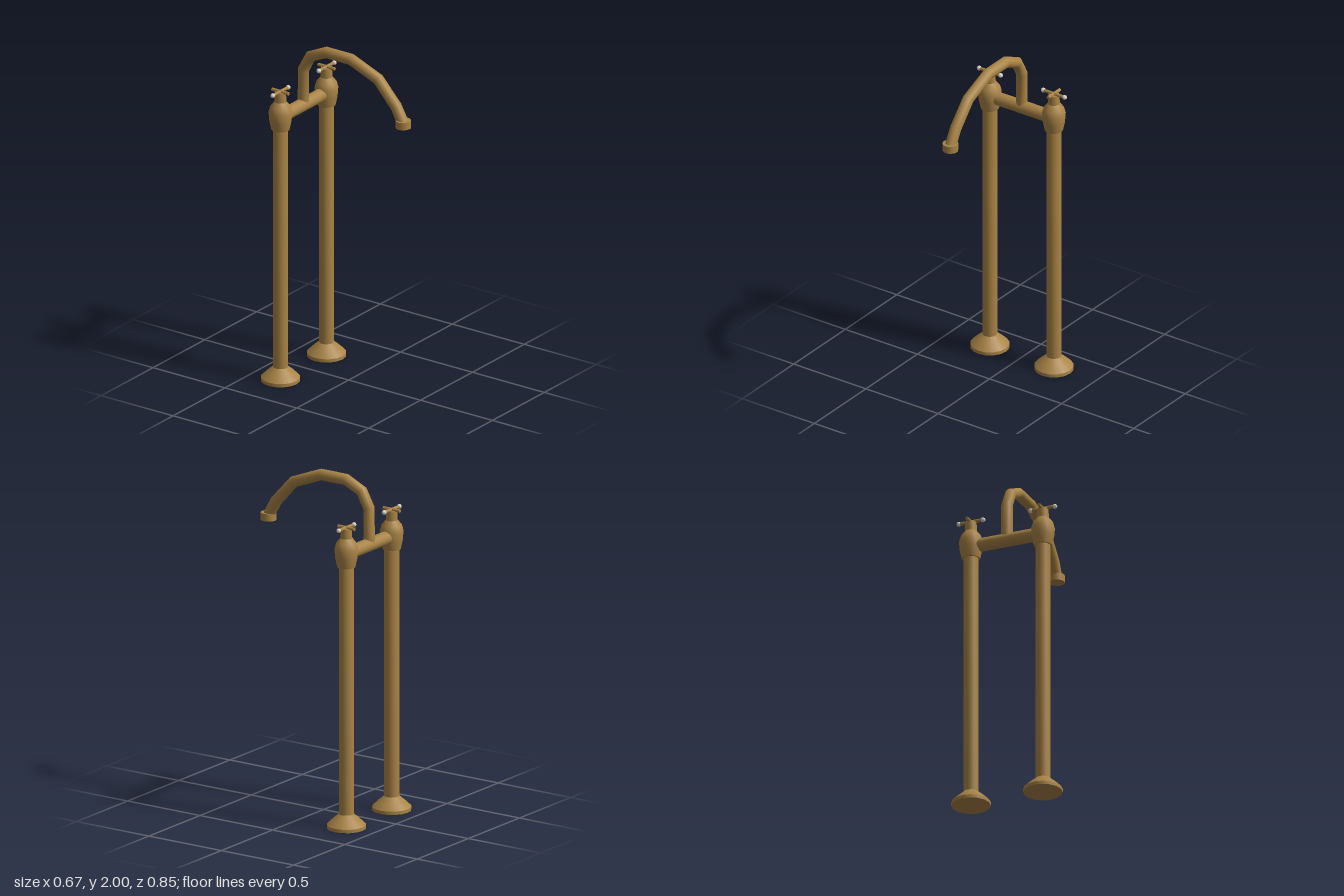
import * as THREE from 'three';
import { toCreasedNormals } from 'three/addons/utils/BufferGeometryUtils.js';

const brass = new THREE.MeshStandardMaterial({ color: 0xa98446 });
brass.name = 'aged brass';
const porcelain = new THREE.MeshStandardMaterial({ color: 0xd6d3c8 });
porcelain.name = 'porcelain white';

const BACK = -0.314; // depth of the two columns
const SIDE = 0.222; // distance of each column from the middle

function part(name, geometry, material = brass) {
  const mesh = new THREE.Mesh(geometry, material);
  mesh.name = name;
  return mesh;
}

// Turned part from [radius, height] pairs, listed bottom to top
function turned(name, profile) {
  const points = profile.map(([r, y]) => new THREE.Vector2(r, y));
  return part(name, toCreasedNormals(new THREE.LatheGeometry(points, 16), 0.6));
}

// Cross handle: two bars, with a white knob at each end of the long one
function crossHandle() {
  const handle = new THREE.Group();
  handle.name = 'crossHandle';
  const long = part('longBar', new THREE.CylinderGeometry(0.01, 0.01, 0.14, 10));
  long.rotation.z = Math.PI / 2;
  const short = part('shortBar', new THREE.CylinderGeometry(0.01, 0.01, 0.115, 10));
  short.rotation.x = Math.PI / 2;
  handle.add(long, short);
  for (const s of [-1, 1]) {
    const knob = part('handleKnob', new THREE.SphereGeometry(0.014, 12, 8), porcelain);
    knob.position.x = s * 0.074;
    handle.add(knob);
  }
  handle.position.y = 1.765;
  return handle;
}

// Floor column with flared foot, valve body and handle
function column(side) {
  const group = new THREE.Group();
  group.name = side > 0 ? 'leftColumn' : 'rightColumn';
  group.add(
    turned('foot', [[0, 0], [0.112, 0], [0.112, 0.02], [0.078, 0.053], [0.043, 0.083]]),
    turned('pipe', [[0.043, 0.07], [0.043, 1.54]]),
    turned('valveBody', [
      [0, 1.535], [0.052, 1.535], [0.064, 1.59], [0.068, 1.64], [0.058, 1.675],
      [0.034, 1.705], [0.032, 1.762], [0, 1.762],
    ]),
    crossHandle(),
  );
  group.position.set(side * SIDE, 0, BACK);
  return group;
}

// Curved spout: the tube has one ring at each path point, so its bends stay angular
function spout() {
  const path = [
    [1.61, BACK], [1.825, BACK], [1.918, -0.264], [1.968, -0.155],
    [1.968, 0.016], [1.893, 0.206], [1.757, 0.33], [1.665, 0.38],
  ].map(([y, z]) => new THREE.Vector3(0, y, z));
  const curve = new THREE.CatmullRomCurve3(path);
  curve.getPointAt = (u) => curve.getPoint(u);
  curve.getTangentAt = (u) => curve.getTangent(u);
  return part('spout', new THREE.TubeGeometry(curve, path.length - 1, 0.033, 16));
}

export function createModel() {
  const model = new THREE.Group();
  model.name = 'floorStandingTap';
  model.add(column(-1), column(1), spout());

  // Bridge between the valves
  const bridge = part('bridgePipe', new THREE.CylinderGeometry(0.039, 0.039, 2 * SIDE, 16));
  bridge.rotation.z = Math.PI / 2;
  bridge.position.set(0, 1.611, BACK);

  // Outlet collar
  const nozzle = part('nozzle', new THREE.CylinderGeometry(0.045, 0.045, 0.044, 16));
  nozzle.position.set(0, 1.663, 0.38);

  model.add(bridge, nozzle);
  return model;
}
